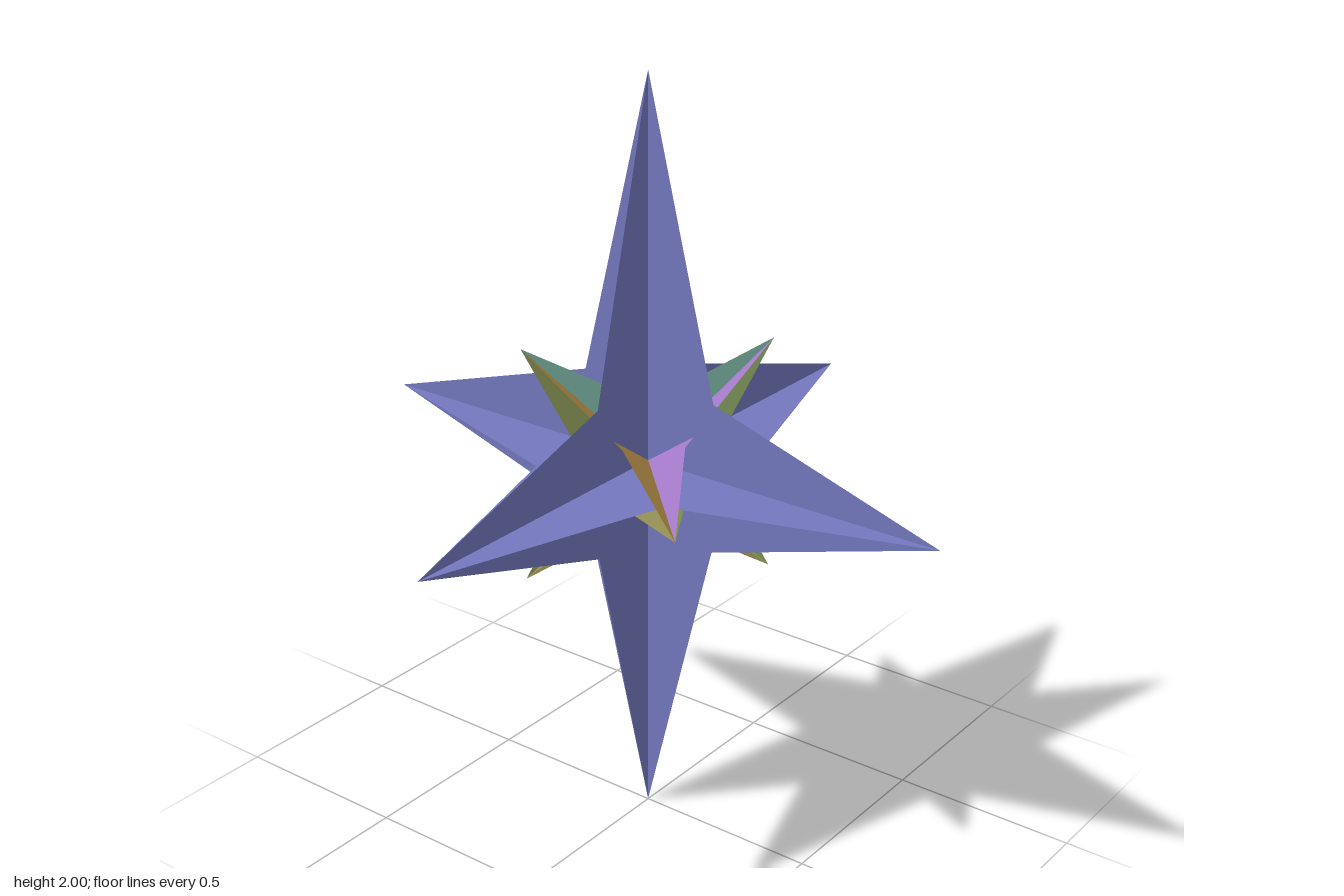
import * as THREE from 'three';

// One quarter of a flat four-pointed star: centre, tip, notch, tip.
function kite(name, a, b, notch, color) {
  const n = a.clone().normalize().add(b.clone().normalize()).multiplyScalar(notch);
  const geo = new THREE.BufferGeometry().setFromPoints([new THREE.Vector3(), a, n, b]);
  geo.setIndex([0, 1, 2, 0, 2, 3]);
  geo.computeVertexNormals();
  const mesh = new THREE.Mesh(geo, new THREE.MeshStandardMaterial({ color, side: THREE.DoubleSide }));
  mesh.name = name;
  return mesh;
}

// Three flat stars crossing at right angles; each axis holds a pair of opposite tips.
function crossedStar(name, axes, notch, colors) {
  const star = new THREE.Group();
  star.name = name;
  [[0, 1], [0, 2], [1, 2]].forEach(([i, j], plane) => {
    const blade = new THREE.Group();
    blade.name = `${name}Blade${plane + 1}`;
    const [p, m] = axes[i], [q, r] = axes[j];
    [[p, q], [m, q], [m, r], [p, r]].forEach(([a, b], k) =>
      blade.add(kite('bladeQuarter', a, b, notch, colors[plane][k])));
    star.add(blade);
  });
  return star;
}

const pair = (dir, plus, minus = plus) => {
  const d = dir.normalize();
  return [d.clone().multiplyScalar(plus), d.clone().multiplyScalar(-minus)];
};

export function createModel() {
  const model = new THREE.Group();
  model.name = 'spikedStar';
  const V = (x, y, z) => new THREE.Vector3(x, y, z);

  // Large blue star on the main axes
  const blue = Array(4).fill(0x7478c0);
  const large = crossedStar('largeStar',
    [pair(V(1, 0, 0), 0.845), pair(V(0, 1, 0), 0.995, 1.005), pair(V(0, 0, 1), 0.845)],
    0.2, [blue, blue, blue]);

  // Small many-coloured star, turned 45 degrees about two axes
  const h = Math.SQRT2;
  const small = crossedStar('smallStar',
    [pair(V(-1, 0, 1), 0.477), pair(V(1, h, 1), 0.445), pair(V(1, -h, 1), 0.445)],
    0.11, [
      [0xa078c4, 0xc47cb4, 0x6a9a80, 0x8f8a50],
      [0xa8c060, 0x70c4a4, 0x5c9070, 0xb8924c],
      [0x94b068, 0xb0a85c, 0x8c9a58, 0x80b8a8],
    ]);

  model.add(large, small);
  large.position.y = small.position.y = 1.005;
  return model;
}
